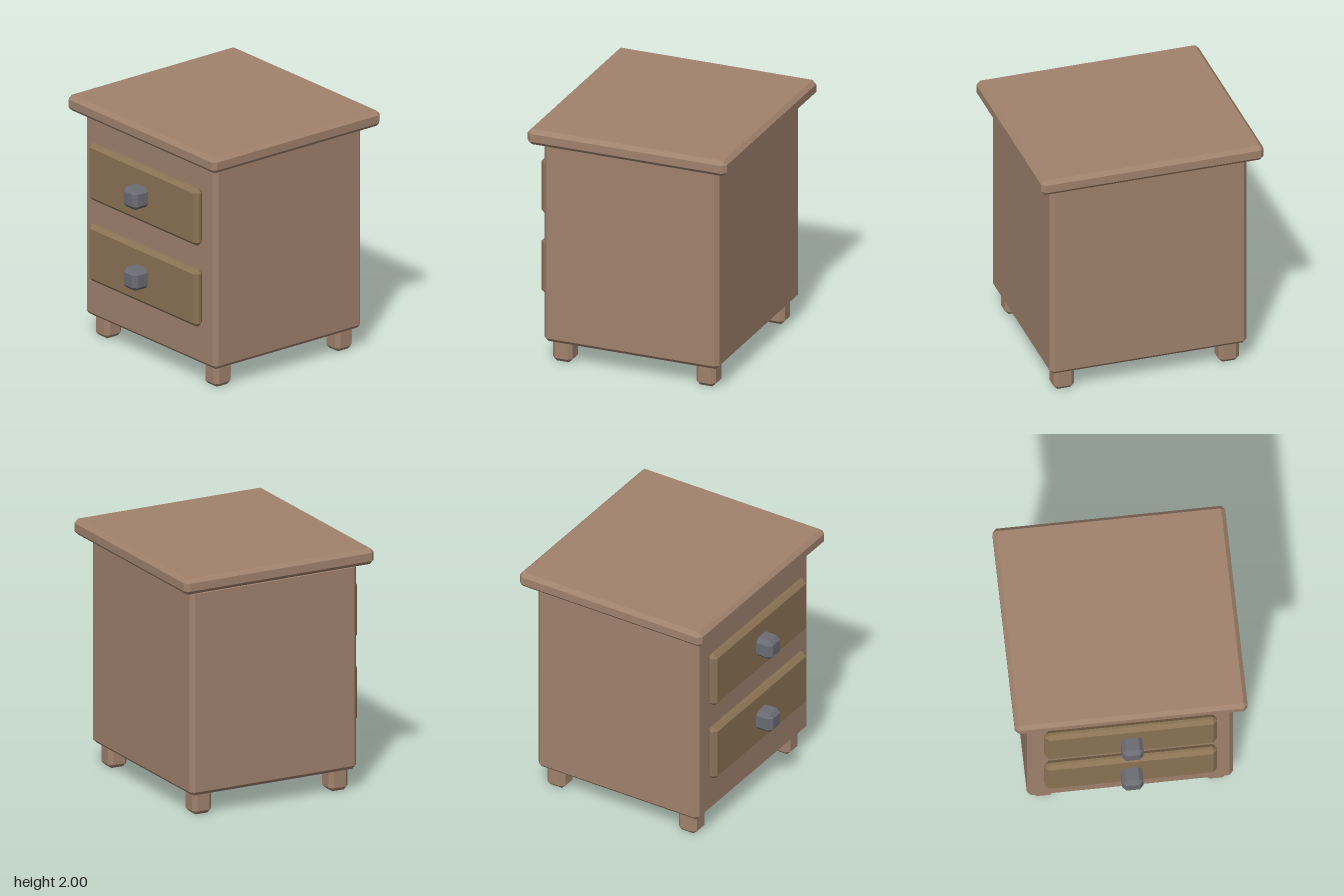
import * as THREE from 'three';
import { ConvexGeometry } from 'three/addons/geometries/ConvexGeometry.js';

const BEVEL = 0.032;

// Box with flat chamfered edges, given by its min and max corners
function chamferBox(name, min, max, material) {
  const half = max.map((v, i) => (v - min[i]) / 2);
  const points = [];
  for (const sx of [-1, 1]) for (const sy of [-1, 1]) for (const sz of [-1, 1]) {
    const sign = [sx, sy, sz];
    for (let axis = 0; axis < 3; axis++) {
      const c = sign.map((s, i) => s * (half[i] - (i === axis ? 0 : BEVEL)));
      points.push(new THREE.Vector3(...c));
    }
  }
  const mesh = new THREE.Mesh(new ConvexGeometry(points), material);
  mesh.name = name;
  mesh.position.set(...min.map((v, i) => v + half[i]));
  return mesh;
}

export function createModel() {
  const group = new THREE.Group();
  group.name = 'nightstand';
  const paint = (color) => new THREE.MeshStandardMaterial({ color, flatShading: true });
  const wood = paint(0xa0826d);
  const drawerWood = paint(0x8b7355);
  const metal = paint(0x6b6b73);

  // Cabinet and overhanging top
  group.add(chamferBox('cabinet', [-0.81, 0.175, -0.8], [0.81, 1.868, 0.688], wood));
  group.add(chamferBox('top', [-0.915, 1.87, -0.908], [0.915, 2, 0.786], wood));

  // Drawer fronts with knobs
  for (const [side, y] of [['upper', 1.427], ['lower', 0.749]]) {
    group.add(chamferBox(side + 'Drawer', [-0.676, y - 0.238, 0.687], [0.676, y + 0.238, 0.772], drawerWood));
    group.add(chamferBox(side + 'Knob', [-0.084, y - 0.084, 0.74], [0.084, y + 0.084, 0.908], metal));
  }

  // Four short feet
  for (const [side, x] of [['Left', 0.678], ['Right', -0.678]]) {
    for (const [end, z] of [['front', 0.553], ['back', -0.667]]) {
      group.add(chamferBox(end + side + 'Foot', [x - 0.084, 0, z - 0.084], [x + 0.084, 0.21, z + 0.084], wood));
    }
  }
  return group;
}
